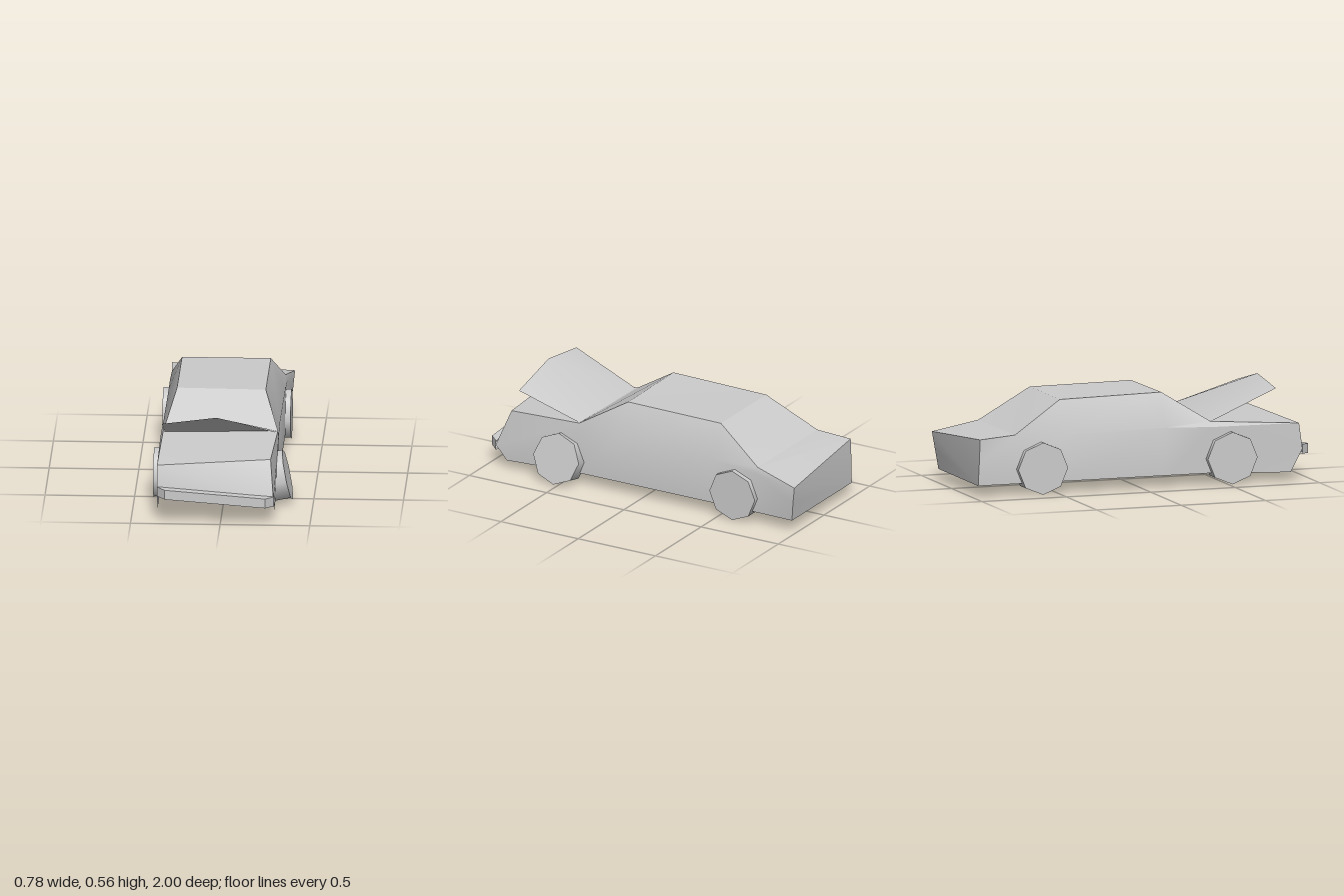
import * as THREE from 'three';
import { toCreasedNormals } from 'three/addons/utils/BufferGeometryUtils.js';

const material = new THREE.MeshStandardMaterial({ color: 0xcccccc, side: THREE.DoubleSide });

function add(parent, name, geometry) {
  const mesh = new THREE.Mesh(geometry, material);
  mesh.name = name;
  parent.add(mesh);
  return mesh;
}

// Geometry from flat quads or triangles, each a list of corner points
function fromFaces(faces, crease) {
  const positions = [];
  for (const f of faces)
    for (let i = 1; i < f.length - 1; i++) positions.push(...f[0], ...f[i], ...f[i + 1]);
  const geometry = new THREE.BufferGeometry();
  geometry.setAttribute('position', new THREE.Float32BufferAttribute(positions, 3));
  return toCreasedNormals(geometry, crease);
}

// Quads joining neighbouring cross-sections
function loft(sections) {
  const faces = [];
  for (let s = 0; s < sections.length - 1; s++) {
    const a = sections[s], b = sections[s + 1];
    for (let i = 0; i < a.length - 1; i++) faces.push([a[i], b[i], b[i + 1], a[i + 1]]);
  }
  return faces;
}

// Dented body shell, open underneath; each section runs from the right sill over the top to the left sill
function bodyGeometry() {
  const sections = [
    [[-0.355, 0.07, -0.97], [-0.36, 0.2, -0.965], [-0.36, 0.33, -0.96],
      [0.325, 0.28, -1], [0.315, 0.18, -0.985], [0.3, 0.07, -0.97]],
    [[-0.355, 0.07, -0.745], [-0.36, 0.3, -0.745], [-0.35, 0.345, -0.75],
      [0.285, 0.337, -0.74], [0.295, 0.3, -0.74], [0.295, 0.07, -0.745]],
    [[-0.355, 0.07, -0.46], [-0.355, 0.33, -0.46], [-0.28, 0.52, -0.46],
      [0.215, 0.52, -0.46], [0.295, 0.33, -0.46], [0.295, 0.07, -0.46]],
    [[-0.355, 0.07, 0.14], [-0.355, 0.34, 0.14], [-0.28, 0.53, 0.14],
      [0.215, 0.525, 0.14], [0.295, 0.34, 0.14], [0.295, 0.07, 0.14]],
    [[-0.355, 0.07, 0.41], [-0.36, 0.33, 0.41], [-0.345, 0.36, 0.41],
      [0.295, 0.37, 0.41], [0.3, 0.34, 0.41], [0.295, 0.07, 0.41]],
    [[-0.355, 0.05, 0.88], [-0.355, 0.18, 0.95], [-0.355, 0.325, 0.93],
      [0.275, 0.345, 0.86], [0.295, 0.13, 0.95], [0.295, 0.05, 0.88]],
  ];
  const front = sections[sections.length - 1];
  const tail = [...sections[0]].reverse();
  return fromFaces([...loft(sections), front.slice(1, 5).reverse(), tail.reverse()], 0.45);
}

// Sloping bumper with chamfered ends
function bumperGeometry() {
  const sections = [[-0.355, 0.95], [-0.31, 1], [0.25, 1], [0.295, 0.95]].map(([x, z]) => {
    const y = 0.152 - 0.077 * (x + 0.03);
    return [[x, y + 0.027, 0.945], [x, y + 0.027, z], [x, y - 0.027, z], [x, y - 0.027, 0.945]];
  });
  return fromFaces(loft(sections), 0.1);
}

// Eight-sided wheel, open on the inside, with the lowest two treads missing; outer face at local x = 0
function makeWheel(name, x, z, tilt = 0) {
  const wheel = new THREE.Group();
  wheel.name = name;
  const radius = 0.147, width = 0.093;
  const tread = new THREE.CylinderGeometry(radius, radius, width, 6, 1, true, Math.PI * 0.75, Math.PI * 1.5);
  tread.rotateZ(-Math.PI / 2).translate(-width / 2, 0, 0);
  add(wheel, 'tread', tread);
  add(wheel, 'wheelFace', new THREE.CircleGeometry(radius, 8).rotateY(Math.PI / 2));
  wheel.position.set(x, 0.152, z);
  if (x < 0) wheel.rotation.y = Math.PI;
  wheel.rotation.z = tilt;
  return wheel;
}

export function createModel() {
  const car = new THREE.Group();
  car.name = 'wreckedCar';
  add(car, 'bodyShell', bodyGeometry());
  add(car, 'bumper', bumperGeometry());

  // Buckled bonnet, sprung open at the windscreen hinge
  const hingeR = [-0.335, 0.36, 0.42], hingeL = [0.29, 0.37, 0.41];
  const tipR = [-0.335, 0.525, 0.8], peak = [-0.03, 0.565, 0.8], tipL = [0.295, 0.485, 0.8];
  add(car, 'openBonnet', fromFaces([
    [hingeR, tipR, peak], [hingeR, peak, hingeL], [hingeL, peak, tipL],
  ], 0.5));

  // Wheels, the front left one knocked askew
  car.add(
    makeWheel('frontRightWheel', -0.39, 0.525),
    makeWheel('rearRightWheel', -0.39, -0.597),
    makeWheel('rearLeftWheel', 0.325, -0.597),
    makeWheel('frontLeftWheel', 0.355, 0.525, 0.21),
  );
  return car;
}
